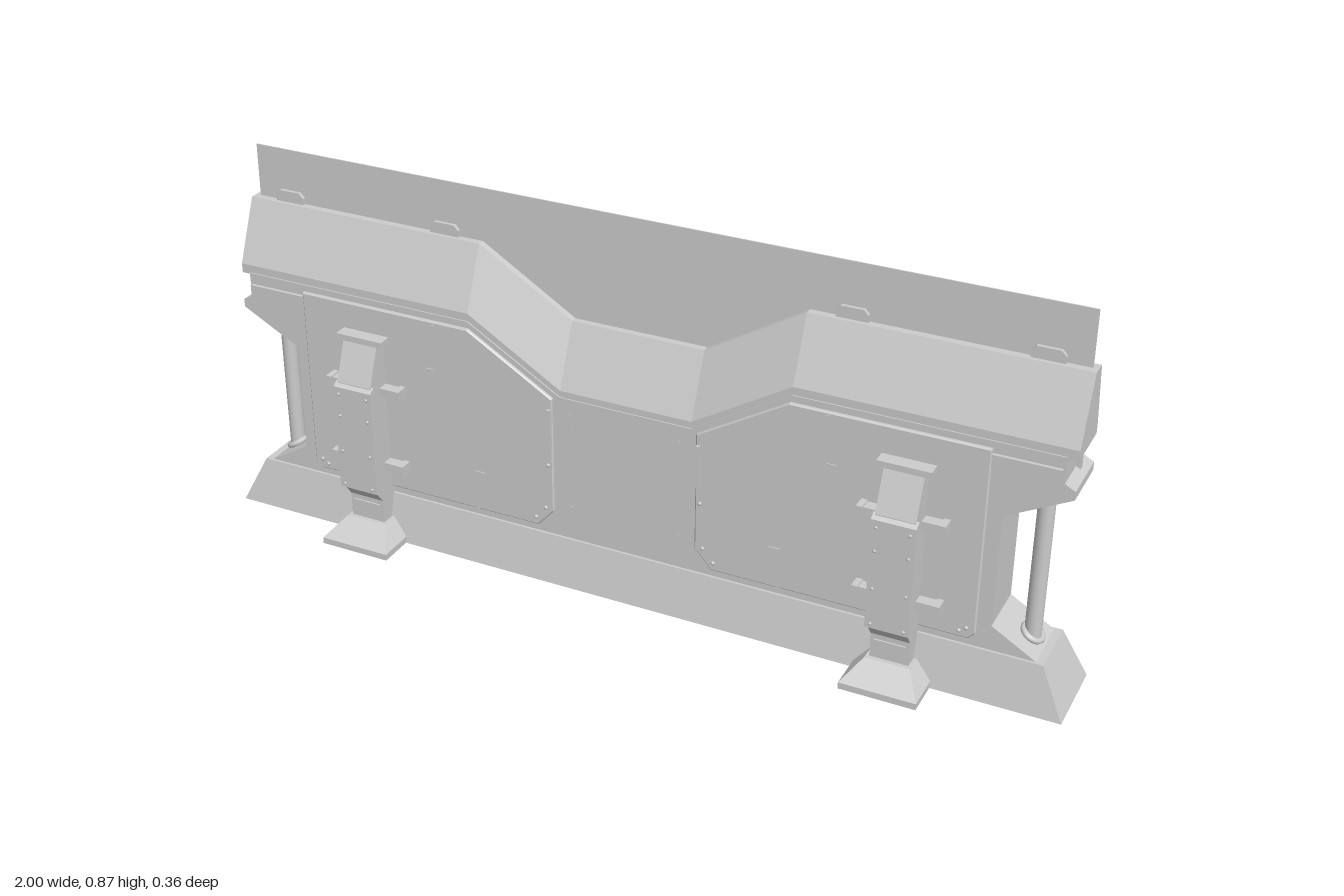
import * as THREE from 'three';

const mat = new THREE.MeshStandardMaterial({ color: 0xcccccc, flatShading: true });
const smooth = new THREE.MeshStandardMaterial({ color: 0xcccccc });

function add(parent, name, geo, x = 0, y = 0, z = 0, m = mat) {
  const mesh = new THREE.Mesh(geo, m);
  mesh.name = name;
  mesh.position.set(x, y, z);
  parent.add(mesh);
  return mesh;
}
const box = (w, h, d) => new THREE.BoxGeometry(w, h, d);
const shapeOf = pts => new THREE.Shape(pts.map(p => new THREE.Vector2(...p)));

// Outline in x,y with thickness centred on z = 0
function extrudeZ(pts, depth, bevel = 0) {
  const geo = new THREE.ExtrudeGeometry(shapeOf(pts), {
    depth: depth - 2 * bevel, bevelEnabled: bevel > 0, bevelSize: bevel,
    bevelThickness: bevel, bevelOffset: -bevel, bevelSegments: 1,
  });
  return geo.translate(0, 0, bevel - depth / 2);
}

// Section in z,y running along x and centred on x = 0
function extrudeX(pts, width) {
  const geo = new THREE.ExtrudeGeometry(shapeOf(pts), { depth: width, bevelEnabled: false });
  return geo.translate(0, 0, -width / 2).rotateY(-Math.PI / 2);
}

// Box whose top is resized, with its bottom on y = 0
function frustum(w0, d0, w1, d1, h, topShift = 0) {
  const geo = box(1, h, 1).translate(0, h / 2, 0);
  const p = geo.attributes.position;
  for (let i = 0; i < p.count; i++) {
    const top = p.getY(i) > h / 2;
    p.setX(i, p.getX(i) * (top ? w1 : w0));
    p.setZ(i, p.getZ(i) * (top ? d1 : d0) + (top ? topShift : 0));
  }
  geo.computeVertexNormals();
  return geo;
}

// Buttress leaning on the +z face
function buttress() {
  const g = new THREE.Group();
  g.name = 'buttress';
  add(g, 'buttressArm', extrudeX([
    [0.06, 0.03], [0.115, 0.03], [0.115, 0.112], [0.136, 0.14],
    [0.136, 0.41], [0.1, 0.5], [0.06, 0.5],
  ], 0.086));
  add(g, 'buttressCap', box(0.116, 0.014, 0.045), 0, 0.507, 0.083);
  add(g, 'coverPlate', extrudeX([
    [0.13, 0.135], [0.145, 0.145], [0.145, 0.402], [0.13, 0.412],
  ], 0.096));
  add(g, 'anklePlate', box(0.07, 0.035, 0.006), 0, 0.083, 0.116);
  add(g, 'footRim', box(0.17, 0.015, 0.1), 0, 0.0075, 0.13);
  add(g, 'footSlope', frustum(0.17, 0.1, 0.1, 0.045, 0.04, -0.0275), 0, 0.015, 0.13);
  for (const s of [-1, 1]) {
    for (const y of [0.195, 0.386]) {
      add(g, 'sideClamp', box(0.05, 0.02, 0.026), s * 0.068, y, 0.087);
      add(g, 'clampEnd', box(0.014, 0.026, 0.036), s * 0.088, y, 0.087);
    }
    for (const y of [0.155, 0.24, 0.33, 0.385]) {
      add(g, 'rivet', new THREE.SphereGeometry(0.004, 8, 6), s * 0.036, y, 0.145, smooth);
    }
  }
  return g;
}

// Raised panel, handle and seams on the +z face; s picks the half
function sidePanel(s) {
  const g = new THREE.Group();
  g.name = 'sidePanel';
  const outline = [
    [0.17, 0.455], [0.17, 0.175], [0.21, 0.13], [0.785, 0.13],
    [0.8, 0.145], [0.8, 0.577], [0.375, 0.577],
  ].map(([x, y]) => [s * x, y]);
  add(g, 'panelPlate', extrudeZ(outline, 0.012, 0.003), 0, 0, 0.067);
  add(g, 'panelHandle', box(0.01, 0.1, 0.008), s * 0.177, 0.38, 0.075);
  add(g, 'upperSeam', box(0.006, 0.11, 0.003), s * 0.46, 0.515, 0.074);
  add(g, 'upperSeamHook', box(0.026, 0.006, 0.003), s * 0.47, 0.458, 0.074);
  add(g, 'lowerSeam', box(0.006, 0.1, 0.003), s * 0.365, 0.175, 0.074);
  add(g, 'lowerSeamHook', box(0.026, 0.006, 0.003), s * 0.355, 0.226, 0.074);
  // Rail under the coping, out to the end of the wall
  add(g, 'endRail', box(0.14, 0.026, 0.01), s * 0.87, 0.553, 0.068);
  for (const [x, y] of [[0.78, 0.155], [0.765, 0.145], [0.215, 0.15], [0.19, 0.18], [0.182, 0.29]]) {
    add(g, 'panelRivet', new THREE.SphereGeometry(0.005, 8, 6), s * x, y, 0.073, smooth);
  }
  return g;
}

export function createModel() {
  const model = new THREE.Group();
  model.name = 'barrier';

  // Plinth
  add(model, 'plinth', frustum(2, 0.19, 1.89, 0.142, 0.112));

  // Core wall, with notched ends and a dip in the middle
  const half = [
    [0.94, 0.105], [0.83, 0.17], [0.83, 0.43], [0.968, 0.503], [0.968, 0.522],
    [0.945, 0.534], [0.945, 0.592], [0.378, 0.592], [0.155, 0.46],
  ];
  const mirrored = half.map(([x, y]) => [-x, y]).reverse();
  add(model, 'coreWall', extrudeZ([...half, ...mirrored], 0.13));

  // Sloped coping following the dip
  const section = [
    [0.062, 0.588], [0.062, 0.61], [0.002, 0.75], [-0.035, 0.75], [-0.06, 0.61], [-0.06, 0.588],
  ];
  const path = [[-0.967, 0], [-0.378, 0], [-0.155, -0.135], [0.155, -0.135], [0.378, 0], [0.967, 0]];
  for (let i = 0; i < path.length - 1; i++) {
    const [x0, d0] = path[i], [x1, d1] = path[i + 1];
    const geo = extrudeX(section, x1 - x0).translate((x0 + x1) / 2, 0, 0);
    const p = geo.attributes.position;
    for (let k = 0; k < p.count; k++) {
      const t = (p.getX(k) - x0) / (x1 - x0);
      p.setY(k, p.getY(k) + d0 + (d1 - d0) * t);
    }
    geo.computeVertexNormals();
    add(model, 'coping', geo);
  }

  // Thin upright screen and its clips
  add(model, 'screen', extrudeX([
    [-0.024, 0.5], [-0.012, 0.5], [-0.0165, 0.872], [-0.0195, 0.872],
  ], 1.91));
  for (const x of [-0.87, -0.47, 0.47, 0.87]) {
    add(model, 'screenClip', extrudeZ([
      [-0.035, 0.74], [0.035, 0.74], [0.035, 0.765], [0.025, 0.776], [-0.025, 0.776], [-0.035, 0.765],
    ], 0.022), x, 0, -0.018);
  }

  // End posts with collars lying on the sloped notch faces
  for (const s of [-1, 1]) {
    add(model, 'endPost', new THREE.CylinderGeometry(0.018, 0.018, 0.35, 20), s * 0.9, 0.3, 0, smooth);
    for (const [y, tilt] of [[0.136, -0.53], [0.464, 0.49]]) {
      const ring = new THREE.TorusGeometry(0.022, 0.007, 8, 24).rotateX(Math.PI / 2);
      add(model, 'postCollar', ring, s * 0.9, y, 0, smooth).rotation.z = s * tilt;
    }
  }

  // Both long faces carry the same panels and buttresses
  for (const turn of [0, Math.PI]) {
    const face = new THREE.Group();
    face.name = turn ? 'backFace' : 'frontFace';
    face.rotation.y = turn;
    for (const s of [-1, 1]) {
      const leg = buttress();
      leg.position.x = s * 0.635;
      face.add(leg, sidePanel(s));
      add(face, 'centreSeam', box(0.005, 0.05, 0.003), s * 0.13, 0.4, 0.066);
      add(face, 'centreSeam', box(0.005, 0.05, 0.003), s * 0.13, 0.17, 0.066);
    }
    model.add(face);
  }
  return model;
}
